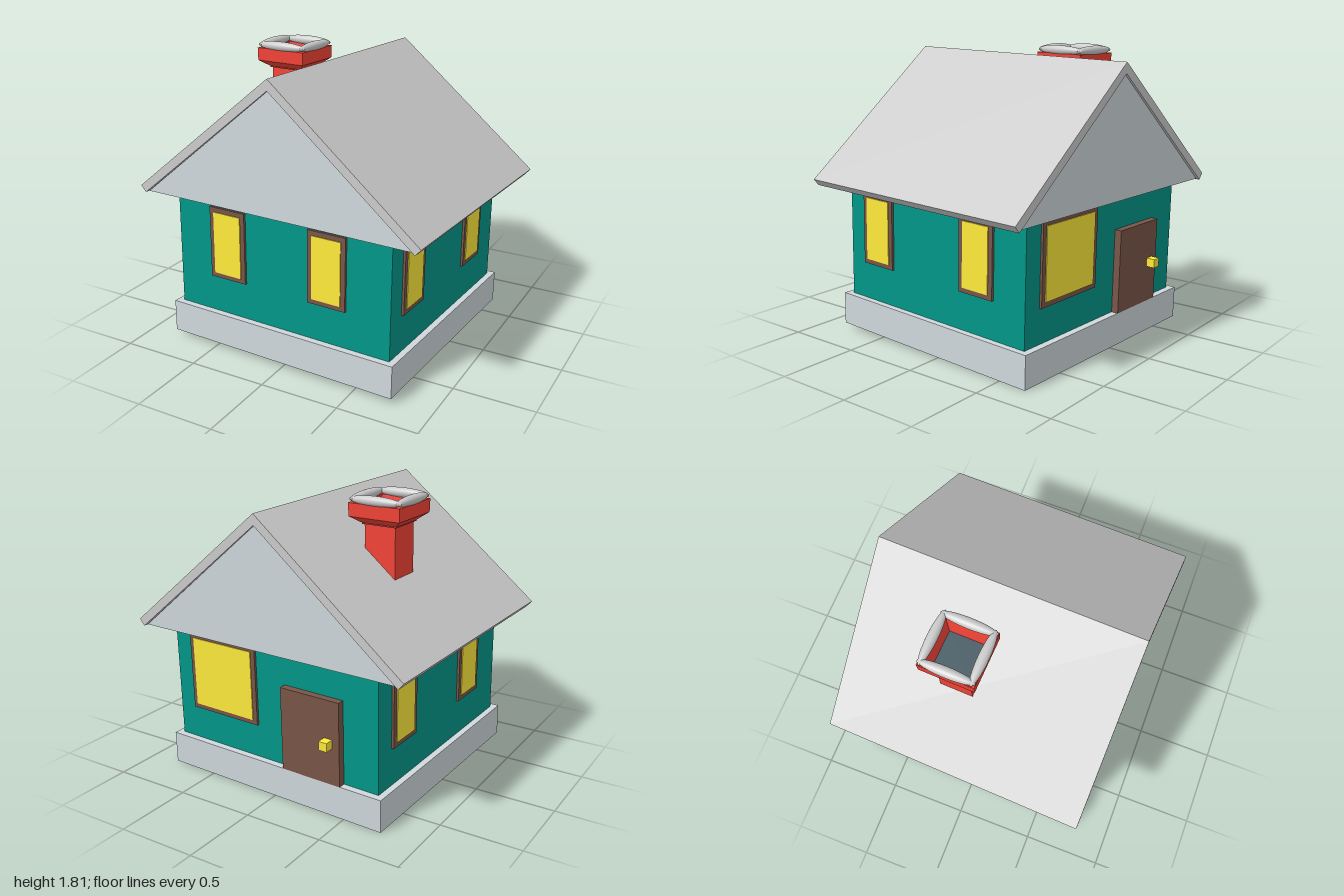
import * as THREE from 'three';

const mat = (color, extra = {}) => new THREE.MeshStandardMaterial({ color, ...extra });
const grey = mat(0xcccccc);
const stone = mat(0xcfd8dc);
const teal = mat(0x009688);
const brown = mat(0x795548);
const yellow = mat(0xffeb3b);
const red = mat(0xf44336, { flatShading: true, side: THREE.DoubleSide });
const slate = mat(0x455a64);

function add(parent, name, geometry, material, x = 0, y = 0, z = 0) {
  const mesh = new THREE.Mesh(geometry, material);
  mesh.name = name;
  mesh.position.set(x, y, z);
  parent.add(mesh);
  return mesh;
}

const box = (parent, name, material, w, h, d, x, y, z) =>
  add(parent, name, new THREE.BoxGeometry(w, h, d), material, x, y, z);

// Extrudes an outline in x and y along z, centred on z = 0
function prism(parent, name, points, depth, material) {
  const shape = new THREE.Shape(points.map(([x, y]) => new THREE.Vector2(x, y)));
  const geometry = new THREE.ExtrudeGeometry(shape, { depth, bevelEnabled: false });
  geometry.translate(0, 0, -depth / 2);
  return add(parent, name, geometry, material);
}

// Window with a frame around a raised pane, facing its own +z
function addWindow(parent, x, y, z, angle, w, h) {
  const group = new THREE.Group();
  group.name = 'window';
  const rim = 0.03;
  const shape = new THREE.Shape();
  const hole = new THREE.Path();
  const rect = (path, a, b) =>
    path.moveTo(-a, -b).lineTo(a, -b).lineTo(a, b).lineTo(-a, b).closePath();
  rect(shape, w / 2, h / 2);
  rect(hole, w / 2 - rim, h / 2 - rim);
  shape.holes.push(hole);
  add(group, 'windowFrame',
    new THREE.ExtrudeGeometry(shape, { depth: 0.015, bevelEnabled: false }), brown);
  box(group, 'windowPane', yellow, w - 2 * rim, h - 2 * rim, 0.02, 0, 0, 0.01);
  group.position.set(x, y, z);
  group.rotation.y = angle;
  parent.add(group);
}

export function createModel() {
  const model = new THREE.Group();
  const house = new THREE.Group();
  house.name = 'house';
  model.add(house);

  // Foundation and walls
  box(house, 'foundation', stone, 1.57, 0.205, 1.515, 0, 0.1025, 0);
  box(house, 'walls', teal, 1.49, 0.74, 1.43, 0, 0.575, 0);

  // Gable block with flat soffit, under two roof slabs
  prism(house, 'gable', [[-0.91, 0.938], [0.91, 0.938], [0, 1.683]], 1.6, stone);
  for (const s of [-1, 1]) {
    const section = [[0, 1.75], [0.96 * s, 0.97], [0.926 * s, 0.93], [0, 1.683]];
    prism(house, 'roofSlab', section, 1.63, grey);
  }

  // Windows
  for (const x of [-0.37, 0.33]) addWindow(house, x, 0.668, 0.715, 0, 0.255, 0.455);
  for (const z of [0.457, -0.358]) {
    addWindow(house, 0.745, 0.668, z, Math.PI / 2, 0.255, 0.455);
  }
  for (const z of [0.33, -0.45]) {
    addWindow(house, -0.745, 0.668, z, -Math.PI / 2, 0.255, 0.455);
  }
  addWindow(house, 0.365, 0.67, -0.715, Math.PI, 0.51, 0.5);

  // Back door with a block knob
  box(house, 'door', brown, 0.41, 0.525, 0.06, -0.305, 0.4675, -0.73);
  box(house, 'doorKnob', yellow, 0.055, 0.055, 0.06, -0.435, 0.465, -0.785);

  // Square hollow chimney
  const chimney = new THREE.Group();
  chimney.name = 'chimney';
  chimney.position.set(-0.44, 0, -0.118);
  house.add(chimney);
  const profile = [[0.103, 1.2], [0.103, 1.615], [0.17, 1.665], [0.172, 1.745],
    [0.135, 1.745], [0.115, 1.62]];
  const stack = new THREE.LatheGeometry(
    profile.map(([half, y]) => new THREE.Vector2(half * Math.SQRT2, y)), 4);
  stack.rotateY(Math.PI / 4);
  add(chimney, 'chimneyStack', stack, red);
  box(chimney, 'chimneyFloor', slate, 0.23, 0.01, 0.23, 0, 1.622, 0);

  // Puffed roll along each side of the chimney rim
  for (let i = 0; i < 4; i++) {
    const a = i * Math.PI / 2;
    const roll = add(chimney, 'rimRoll', new THREE.SphereGeometry(1, 24, 16), grey,
      Math.sin(a) * 0.152, 1.765, Math.cos(a) * 0.152);
    roll.scale.set(0.175, 0.03, 0.032);
    roll.rotation.y = a;
  }

  // The whole house stands slightly turned and tipped
  house.rotation.set(-0.023, -0.041, 0, 'YXZ');
  house.position.set(0, 0.018, 0.033);
  return model;
}
